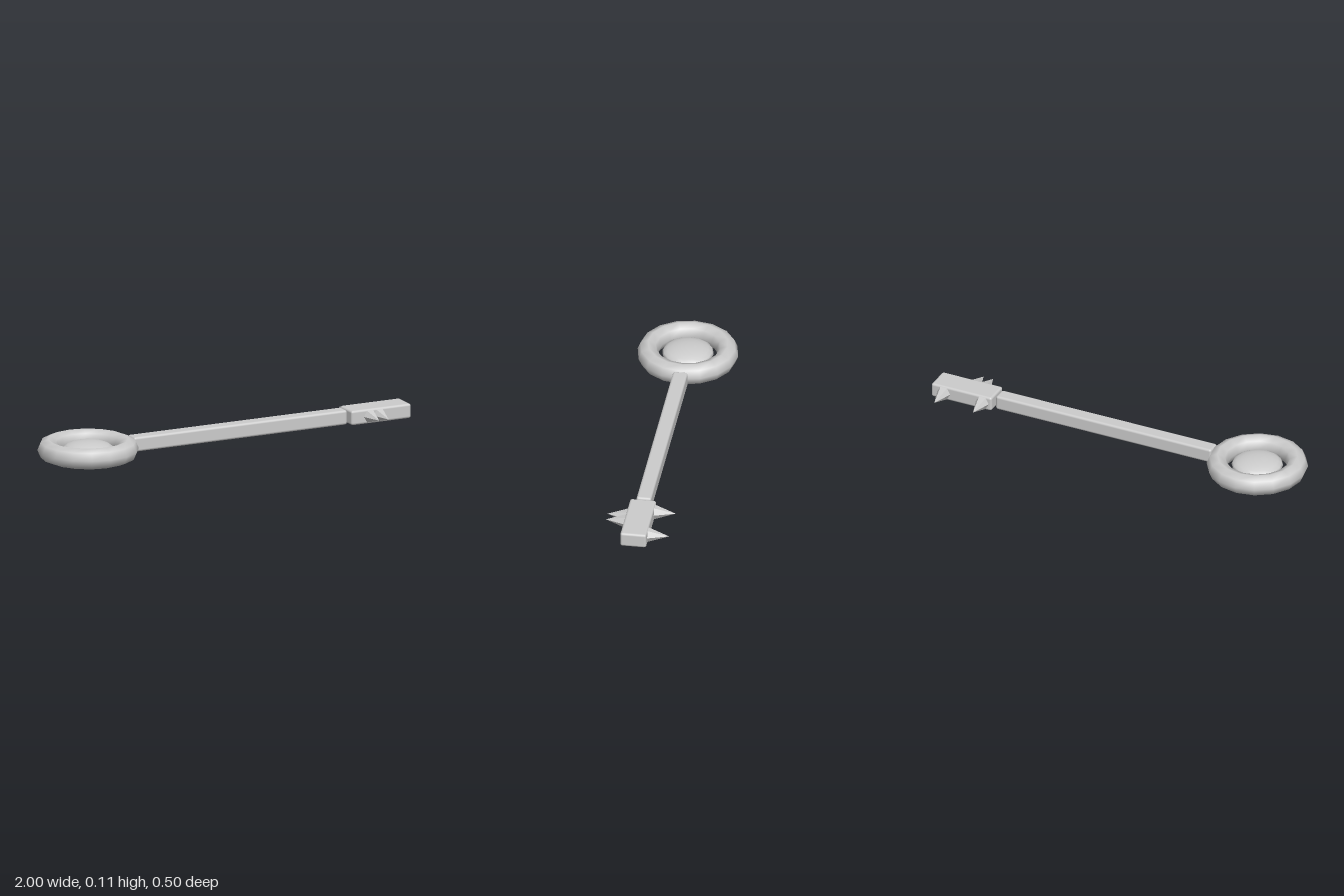
import * as THREE from 'three';
import { RoundedBoxGeometry } from 'three/addons/geometries/RoundedBoxGeometry.js';

export function createModel() {
  const group = new THREE.Group();
  const metal = new THREE.MeshStandardMaterial({ color: 0xcccccc });
  metal.name = 'paleMetal';
  const midY = 0.055;

  const add = (name, geometry, x, z = 0) => {
    const mesh = new THREE.Mesh(geometry, metal);
    mesh.name = name;
    mesh.position.set(x, midY, z);
    group.add(mesh);
    return mesh;
  };

  // Ring-shaped bow with a lens floating in its middle
  add('ring', new THREE.TorusGeometry(0.197, 0.053, 8, 16).rotateX(Math.PI / 2), -0.752);
  add('lens', new THREE.SphereGeometry(0.127, 16, 10).scale(1, 0.32, 1), -0.752);

  // Bevelled shaft and wider end block
  add('shaft', new RoundedBoxGeometry(1.178, 0.074, 0.074, 2, 0.012), 0.073);
  add('endBlock', new RoundedBoxGeometry(0.33, 0.074, 0.13, 2, 0.012), 0.835);

  // Six-sided spikes: a close pair in front, a wide pair behind
  const spikeHeight = 0.105;
  const spike = (name, x, side) => {
    const geometry = new THREE.ConeGeometry(0.036, spikeHeight, 6)
      .rotateY(Math.PI / 6)
      .rotateX(side * Math.PI / 2)
      .toNonIndexed();
    geometry.computeVertexNormals();
    const base = side > 0 ? 0.058 : 0.064;
    add(name, geometry, x, side * (base + spikeHeight / 2));
  };
  for (const x of [0.772, 0.824]) spike('frontSpike', x, 1);
  for (const x of [0.72, 0.931]) spike('backSpike', x, -1);

  return group;
}
